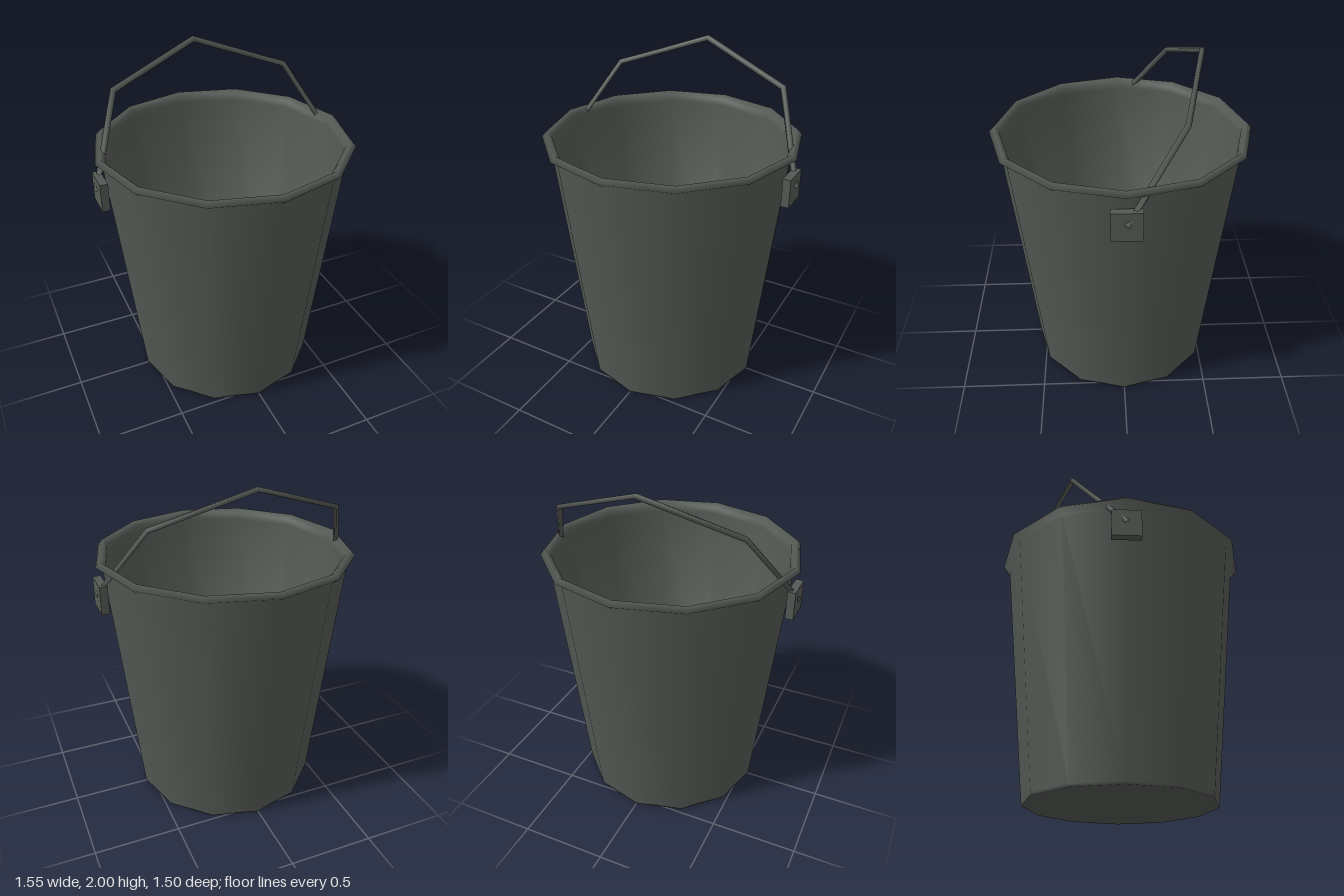
import * as THREE from 'three';

const SIDES = 12;

// Smooth rod with a diamond section and mitred corners, along a path lying in one plane
function bentRod(path, planeNormal, radius) {
  const positions = [];
  const index = [];
  path.forEach((p, i) => {
    const before = p.clone().sub(path[Math.max(i - 1, 0)]).normalize();
    const after = path[Math.min(i + 1, path.length - 1)].clone().sub(p).normalize();
    const along = before.clone().add(after).normalize();
    const reference = before.lengthSq() > 0 ? before : after;
    const across = planeNormal.clone().cross(along);
    across.multiplyScalar(radius / along.dot(reference));
    for (const [a, b] of [[1, 0], [0, 1], [-1, 0], [0, -1]]) {
      const v = p.clone().addScaledVector(across, a).addScaledVector(planeNormal, b * radius);
      positions.push(v.x, v.y, v.z);
    }
    if (i === 0) return;
    for (let k = 0; k < 4; k++) {
      const a = (i - 1) * 4 + k, b = (i - 1) * 4 + ((k + 1) % 4);
      index.push(a, b, a + 4, b, b + 4, a + 4);
    }
  });
  const last = (path.length - 1) * 4;
  index.push(0, 2, 1, 0, 3, 2, last, last + 1, last + 2, last, last + 2, last + 3);
  const geometry = new THREE.BufferGeometry();
  geometry.setAttribute('position', new THREE.Float32BufferAttribute(positions, 3));
  geometry.setIndex(index);
  geometry.computeVertexNormals();
  return geometry;
}

export function createModel() {
  const group = new THREE.Group();
  group.name = 'bucket';
  const metal = new THREE.MeshStandardMaterial({ color: 0x555a55, side: THREE.DoubleSide });
  metal.name = 'dark grey metal';

  // Body: underside, outer wall, rolled rim, inner wall and floor in one smooth profile
  const profile = [
    [0, 0], [0.545, 0], [0.549, 0.015],
    [0.711, 1.487], [0.75, 1.517], [0.722, 1.545], [0.694, 1.517],
    [0.69, 1.48], [0.534, 0.02], [0, 0.02],
  ].map(([r, y]) => new THREE.Vector2(r, y));
  const body = new THREE.Mesh(new THREE.LatheGeometry(profile, SIDES), metal);
  body.name = 'body';
  group.add(body);

  // Plates that hold the handle
  for (const side of [1, -1]) {
    const plate = new THREE.Mesh(new THREE.BoxGeometry(0.045, 0.165, 0.165), metal);
    plate.name = side > 0 ? 'leftHandlePlate' : 'rightHandlePlate';
    plate.position.set(side * 0.733, 1.353, 0);
    group.add(plate);
  }

  // Handle, leaning back
  const pivotY = 1.36;
  const lean = Math.atan2(0.437, 0.62);
  const place = (x, y) => new THREE.Vector3(x, y, -(y - pivotY) * Math.tan(lean));
  const path = [[-0.758, pivotY], [-0.537, 1.795], [0, 1.98], [0.537, 1.795], [0.758, pivotY]]
    .map(([x, y]) => place(x, y));
  const normal = new THREE.Vector3(0, Math.sin(lean), Math.cos(lean));
  const handle = new THREE.Mesh(bentRod(path, normal, 0.017), metal);
  handle.name = 'handle';
  group.add(handle);

  return group;
}
